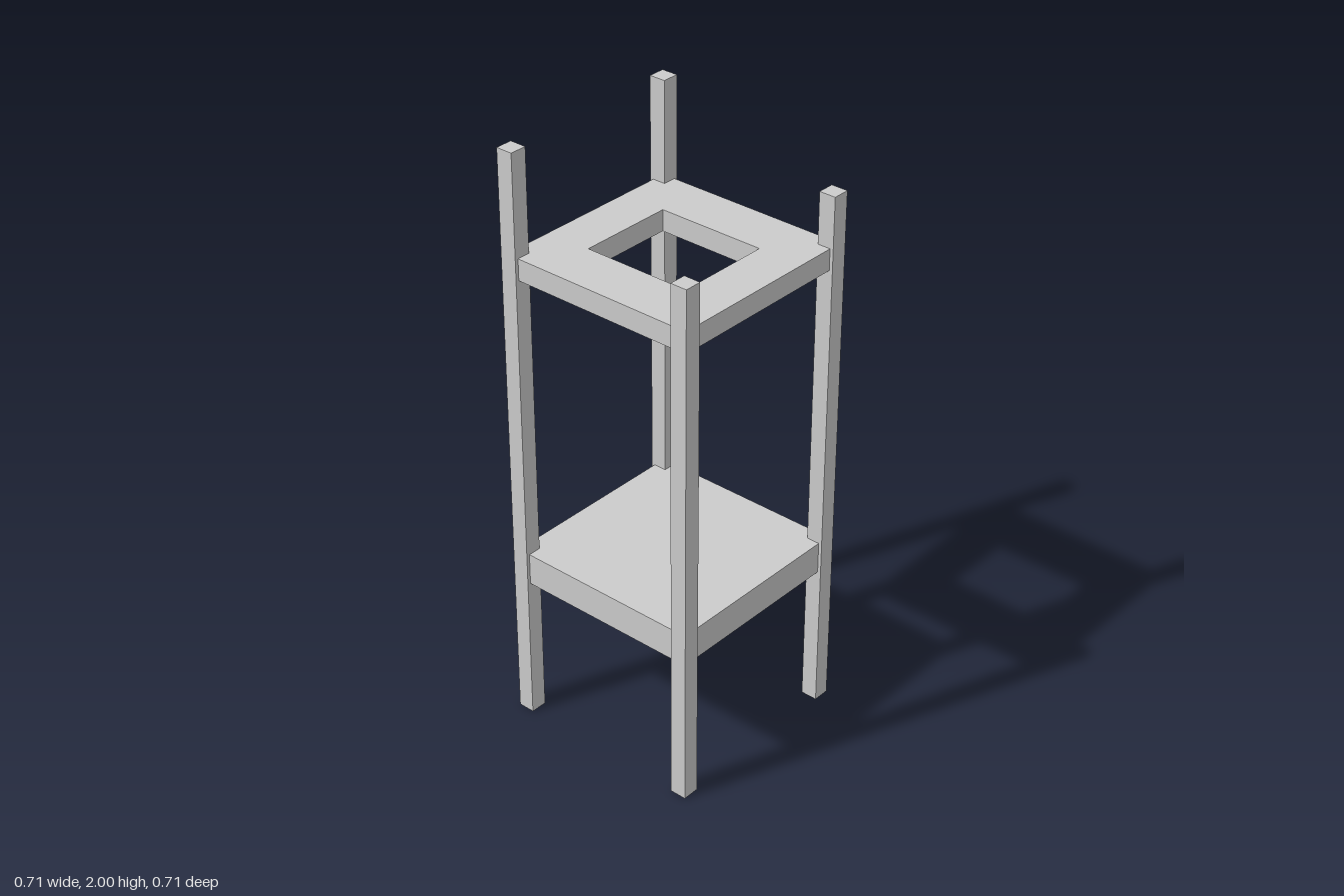
import * as THREE from 'three';

const material = new THREE.MeshStandardMaterial({ color: 0xcccccc, flatShading: true });

export function createModel() {
  const group = new THREE.Group();
  const add = (name, geometry, x, y, z) => {
    const mesh = new THREE.Mesh(geometry, material);
    mesh.name = name;
    mesh.position.set(x, y, z);
    group.add(mesh);
    return mesh;
  };

  // Four square posts: taller at the back, slightly uneven at the front
  const post = 0.057, offset = 0.326;
  const posts = [
    ['frontLeftPost', 1, 1, 1.83],
    ['frontRightPost', -1, 1, 1.8],
    ['backLeftPost', 1, -1, 2],
    ['backRightPost', -1, -1, 2],
  ];
  for (const [name, sx, sz, height] of posts) {
    add(name, new THREE.BoxGeometry(post, height, post), sx * offset, height / 2, sz * offset);
  }

  // Solid lower shelf
  const half = 0.343;
  add('lowerShelf', new THREE.BoxGeometry(2 * half, 0.11, 2 * half), 0, 0.56, 0);

  // Upper shelf with a rectangular opening
  const rectangle = (Type, w, h) => new Type([
    new THREE.Vector2(-w, -h), new THREE.Vector2(w, -h),
    new THREE.Vector2(w, h), new THREE.Vector2(-w, h),
  ]);
  const outline = rectangle(THREE.Shape, half, half);
  outline.holes.push(rectangle(THREE.Path, 0.164, 0.187));
  const frame = new THREE.ExtrudeGeometry(outline, { depth: 0.072, bevelEnabled: false });
  frame.rotateX(-Math.PI / 2);
  add('upperShelf', frame, 0, 1.587, 0);

  return group;
}
